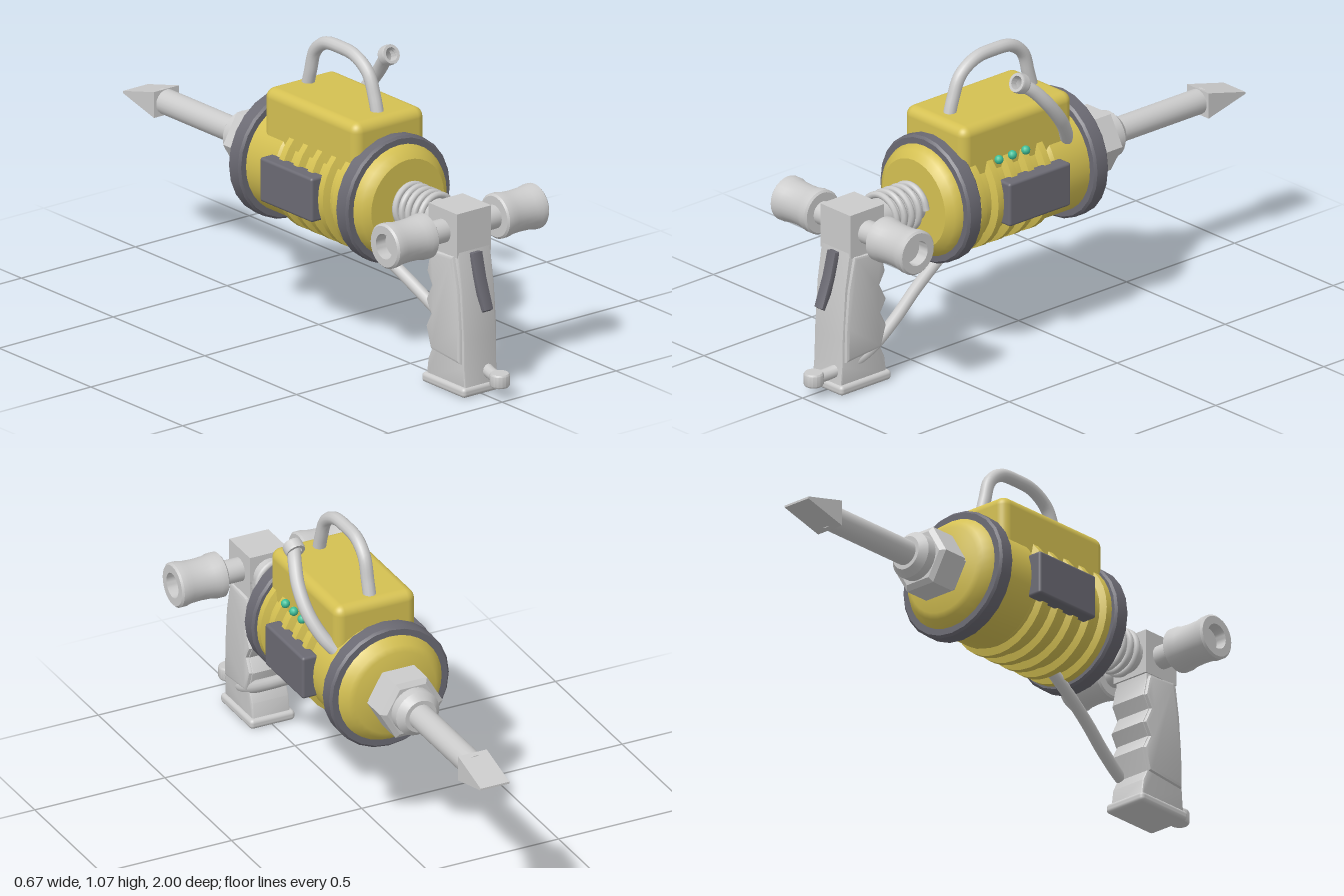
import * as THREE from 'three';
import { toCreasedNormals } from 'three/addons/utils/BufferGeometryUtils.js';
import { RoundedBoxGeometry } from 'three/addons/geometries/RoundedBoxGeometry.js';

const AXIS = 0.576; // height of the tool's main axis

function material(name, color, extra = {}) {
  const m = new THREE.MeshStandardMaterial({ color, ...extra });
  m.name = name;
  return m;
}

export function createModel() {
  const model = new THREE.Group();
  model.name = 'powerChisel';
  const yellow = material('yellowPaint', 0xd4c052);
  const steel = material('lightSteel', 0xcbcbcb, { side: THREE.DoubleSide });
  const dark = material('darkRubber', 0x6b6a73);
  const green = material('greenLamp', 0x3fbf98);

  function add(name, geometry, mat, x = 0, y = 0, z = 0) {
    const mesh = new THREE.Mesh(geometry, mat);
    mesh.name = name;
    mesh.position.set(x, y, z);
    model.add(mesh);
    return mesh;
  }
  // Turned part from [radius, position] pairs, as a lathe along y
  const turned = (profile, sides = 28) => toCreasedNormals(
    new THREE.LatheGeometry(profile.map(([r, p]) => new THREE.Vector2(r, p)), sides), 0.6);
  const turnedZ = (profile, sides) => turned(profile, sides).rotateX(Math.PI / 2);
  const path = (points) => new THREE.CatmullRomCurve3(points.map((p) => new THREE.Vector3(...p)));
  const tube = (points, radius, steps = 40) => new THREE.TubeGeometry(path(points), steps, radius, 12);
  // Side outline of [z, y] pairs, extruded across x and centred
  function sideExtrude(outline, width, bevel) {
    const shape = new THREE.Shape(outline.map(([z, y]) => new THREE.Vector2(z, y)));
    const g = new THREE.ExtrudeGeometry(shape, {
      depth: width - 2 * bevel, bevelThickness: bevel, bevelSize: bevel,
      bevelOffset: -bevel, bevelSegments: 2,
    });
    g.translate(0, 0, -width / 2 + bevel);
    return toCreasedNormals(g.rotateY(-Math.PI / 2), 0.5);
  }

  // Barrel with cooling ribs
  const barrel = [[0, -0.255], [0.155, -0.255], [0.175, -0.245], [0.2, -0.21], [0.2, 0]];
  for (let i = 0; i < 5; i++) {
    const z = 0.045 + i * 0.077;
    barrel.push([0.19, z - 0.032], [0.19, z - 0.022], [0.215, z - 0.013], [0.215, z + 0.013],
      [0.19, z + 0.022], [0.19, z + 0.032]);
  }
  barrel.push([0.2, 0.4], [0.2, 0.44], [0.187, 0.465], [0.16, 0.485], [0, 0.485]);
  add('barrel', turnedZ(barrel, 32), yellow, 0, AXIS);

  // Rubber bands round both ends
  for (const [name, z] of [['frontBand', 0.405], ['rearBand', -0.18]]) {
    add(name, turnedZ([[0.19, -0.032], [0.222, -0.032], [0.23, -0.024], [0.23, 0.024],
      [0.222, 0.032], [0.19, 0.032]], 24), dark, 0, AXIS, z);
  }

  // Housing on top, with its carrying handle
  add('topHousing', new RoundedBoxGeometry(0.31, 0.24, 0.51, 4, 0.035), yellow, 0, 0.748, 0.14);
  add('carryHandle', tube([[0, 0.84, 0.325], [0, 0.91, 0.305], [0, 0.99, 0.27], [0, 1.034, 0.2],
    [0, 1.042, 0.12], [0, 1.034, 0.035], [0, 0.99, -0.02], [0, 0.91, -0.045], [0, 0.84, -0.065]],
  0.023, 48), steel);

  // Side plates
  for (const side of [-1, 1]) {
    add(side > 0 ? 'leftPlate' : 'rightPlate',
      new RoundedBoxGeometry(0.06, 0.16, 0.285, 2, 0.01), dark, side * 0.21, AXIS, 0.117);
  }

  // Indicator lamps
  for (let i = 0; i < 3; i++) {
    add('lamp' + (i + 1), new THREE.SphereGeometry(0.016, 12, 8), green, 0.168, 0.722, 0.12 + i * 0.062);
  }

  // Upper hose and its open end collar
  const upper = [[0.14, 0.69, -0.09], [0.175, 0.735, -0.06], [0.207, 0.81, -0.005],
    [0.213, 0.89, 0.06], [0.198, 0.95, 0.115], [0.18, 0.982, 0.16]];
  add('upperHose', tube(upper, 0.024), steel);
  const collar = add('upperHoseCollar', turnedZ([[0.023, -0.018], [0.034, -0.018], [0.036, -0.01],
    [0.036, 0.01], [0.034, 0.018], [0.024, 0.018], [0.023, -0.018]], 16), steel, 0.18, 0.984, 0.158);
  collar.rotation.x = -0.45;

  // Chuck: hex nut, collar, rod and bit
  add('hexNut', turnedZ([[0, -0.385], [0.1, -0.385], [0.12, -0.372], [0.12, -0.275],
    [0.105, -0.262], [0.105, -0.25], [0, -0.25]], 6).rotateZ(Math.PI / 2), steel, 0, AXIS);
  add('chuckCollar', turnedZ([[0.045, -0.445], [0.06, -0.445], [0.083, -0.42], [0.083, -0.37],
    [0, -0.37]]), steel, 0, AXIS);
  add('chiselRod', turnedZ([[0, -0.85], [0.045, -0.85], [0.045, -0.38]], 20), steel, 0, AXIS);
  const bit = new THREE.BoxGeometry(0.11, 0.094, 0.17);
  const bp = bit.attributes.position;
  for (let i = 0; i < bp.count; i++) if (bp.getZ(i) < 0) bp.setY(i, bp.getY(i) * 0.08);
  bit.computeVertexNormals();
  add('chiselBit', bit, steel, 0, AXIS, -0.915);

  // Shaft and spring between barrel and grip
  add('springShaft', turnedZ([[0.062, 0.47], [0.062, 0.72]], 20), steel, 0, AXIS);
  const coil = [];
  for (let i = 0; i <= 60; i++) {
    const a = (i / 12) * Math.PI * 2;
    coil.push([0.075 * Math.cos(a), AXIS + 0.075 * Math.sin(a), 0.495 + 0.17 * i / 60]);
  }
  add('spring', new THREE.TubeGeometry(path(coil), 160, 0.012, 8), steel);

  // Cross head with two side grips
  add('crossHead', new THREE.BoxGeometry(0.15, 0.16, 0.155), steel, 0, AXIS, 0.77);
  for (const side of [-1, 1]) {
    const name = side > 0 ? 'left' : 'right';
    const arm = add(name + 'Arm', turned([[0.042, 0.06], [0.042, 0.17]], 20), steel, 0, AXIS, 0.77);
    const grip = add(name + 'Grip', turned([[0, 0.15], [0.073, 0.15], [0.08, 0.156], [0.08, 0.18],
      [0.075, 0.2], [0.073, 0.24], [0.075, 0.285], [0.08, 0.305], [0.08, 0.326], [0.073, 0.333],
      [0.045, 0.333], [0.045, 0.29], [0, 0.29]]), steel, 0, AXIS, 0.77);
    arm.rotation.z = grip.rotation.z = -side * Math.PI / 2;
  }

  // Pistol grip with finger notches, raised cheeks and base
  const fingers = [[0.705, 0.13], [0.68, 0.21], [0.706, 0.26], [0.68, 0.305], [0.71, 0.365],
    [0.685, 0.41], [0.7, 0.475]];
  add('pistolGrip', sideExtrude([[0.89, 0.02], [0.675, 0.02], [0.685, 0.09], ...fingers,
    [0.7, 0.53], [0.845, 0.53], [0.868, 0.38], [0.88, 0.2], [0.882, 0.1]], 0.144, 0.006), steel);
  add('gripCheeks', sideExtrude([[0.872, 0.115], ...fingers.map(([z, y]) => [z + 0.004, y]),
    [0.71, 0.49], [0.832, 0.5], [0.858, 0.38], [0.87, 0.24]], 0.168, 0.013), steel);
  add('gripBase', new RoundedBoxGeometry(0.172, 0.036, 0.235, 3, 0.014), steel, 0, 0.018, 0.78);

  // Trigger lever
  add('trigger', sideExtrude([[0.845, 0.505], [0.868, 0.508], [0.89, 0.42], [0.928, 0.315],
    [0.915, 0.305], [0.885, 0.36], [0.866, 0.42]], 0.042, 0.004), dark);

  // Lower hose from the barrel through the grip to its fitting
  add('lowerHose', tube([[0, 0.41, 0.26], [0.005, 0.35, 0.36], [0.025, 0.27, 0.5], [0.045, 0.2, 0.61],
    [0.056, 0.135, 0.72], [0.052, 0.1, 0.8], [0.03, 0.075, 0.89], [0.02, 0.068, 0.96]], 0.022, 48), steel);
  add('lowerHoseFitting', turned([[0, -0.024], [0.031, -0.024], [0.035, -0.018], [0.035, 0.018],
    [0.031, 0.024], [0, 0.024]], 16), steel, 0.018, 0.068, 0.965);

  return model;
}
